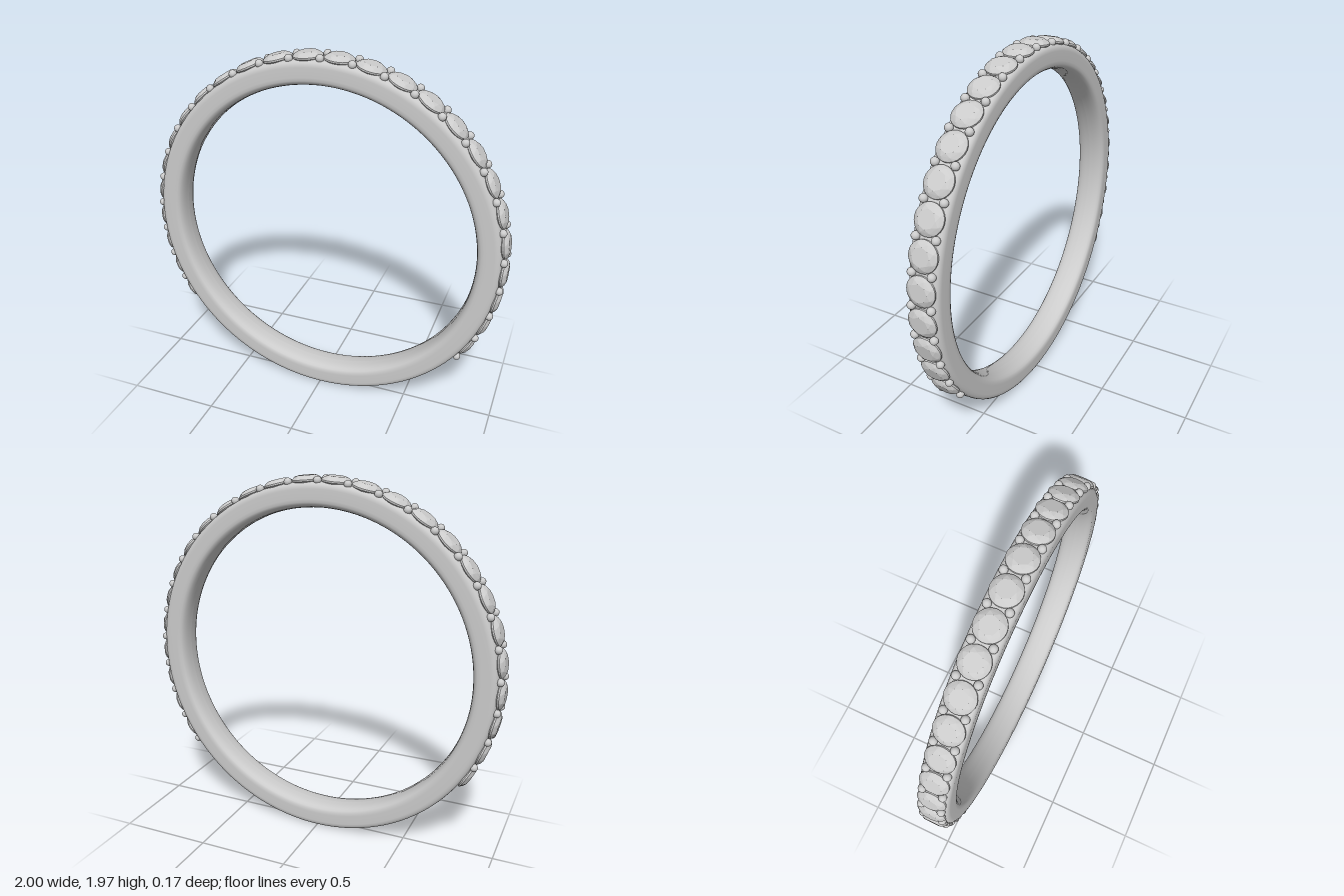
import * as THREE from 'three';
import { ConvexGeometry } from 'three/addons/geometries/ConvexGeometry.js';

const CENTRE_Y = 0.97;
const STEP = THREE.MathUtils.degToRad(9.68);
const GEMS_PER_SIDE = 13;

// Band: closed cross-section (radius, z) revolved round the finger axis
function bandGeometry() {
  const half = [[0.838, 0], [0.839, 0.025], [0.842, 0.046], [0.848, 0.064], [0.857, 0.076], [0.869, 0.082],
    [0.885, 0.083], [0.935, 0.083], [0.948, 0.081], [0.958, 0.076], [0.965, 0.068], [0.968, 0.056], [0.97, 0.03], [0.97, 0]];
  const lower = half.map(([r, z]) => new THREE.Vector2(r, -z));
  const upper = half.slice(0, -1).reverse().map(([r, z]) => new THREE.Vector2(r, z));
  const geometry = new THREE.LatheGeometry([...lower, ...upper], 160);
  geometry.rotateX(Math.PI / 2);
  return geometry;
}

// Round brilliant: table, crown, girdle and pointed pavilion; y is distance from the ring centre
function gemGeometry() {
  const points = [new THREE.Vector3(0, 0.9, 0)];
  const ring = (count, radius, y, offset = 0) => {
    for (let i = 0; i < count; i++) {
      const a = ((i + offset) / count) * Math.PI * 2;
      points.push(new THREE.Vector3(Math.cos(a) * radius, y, Math.sin(a) * radius));
    }
  };
  ring(8, 0.046, 0.999);
  ring(8, 0.064, 0.991, 0.5);
  ring(24, 0.077, 0.978);
  ring(24, 0.077, 0.97);
  return new ConvexGeometry(points);
}

export function createModel() {
  const model = new THREE.Group();
  model.name = 'ring';
  const metal = new THREE.MeshStandardMaterial({ color: 0xcccccc });
  const stone = new THREE.MeshStandardMaterial({ color: 0xcccccc, flatShading: true });

  const band = new THREE.Mesh(bandGeometry(), metal);
  band.name = 'band';
  band.position.y = CENTRE_Y;
  model.add(band);

  // Places a group on the rim, turned clockwise from the top
  const spoke = (name, angle) => {
    const group = new THREE.Group();
    group.name = name;
    group.position.y = CENTRE_Y;
    group.rotation.z = -angle;
    model.add(group);
    return group;
  };

  // Stones sit at half steps
  const gemShape = gemGeometry();
  for (let i = -GEMS_PER_SIDE; i < GEMS_PER_SIDE; i++) {
    const gem = new THREE.Mesh(gemShape, stone);
    gem.name = 'gem';
    spoke('gemSetting', (i + 0.5) * STEP).add(gem);
  }

  // Pairs of bead prongs between the stones, with one closing pair on the left end
  const beadShape = new THREE.SphereGeometry(0.021, 16, 12);
  for (let i = 1 - GEMS_PER_SIDE; i <= GEMS_PER_SIDE; i++) {
    const pair = spoke('prongPair', i * STEP);
    for (const side of [-1, 1]) {
      const bead = new THREE.Mesh(beadShape, metal);
      bead.name = 'prong';
      bead.position.set(0, 0.976, side * 0.053);
      pair.add(bead);
    }
  }
  return model;
}
